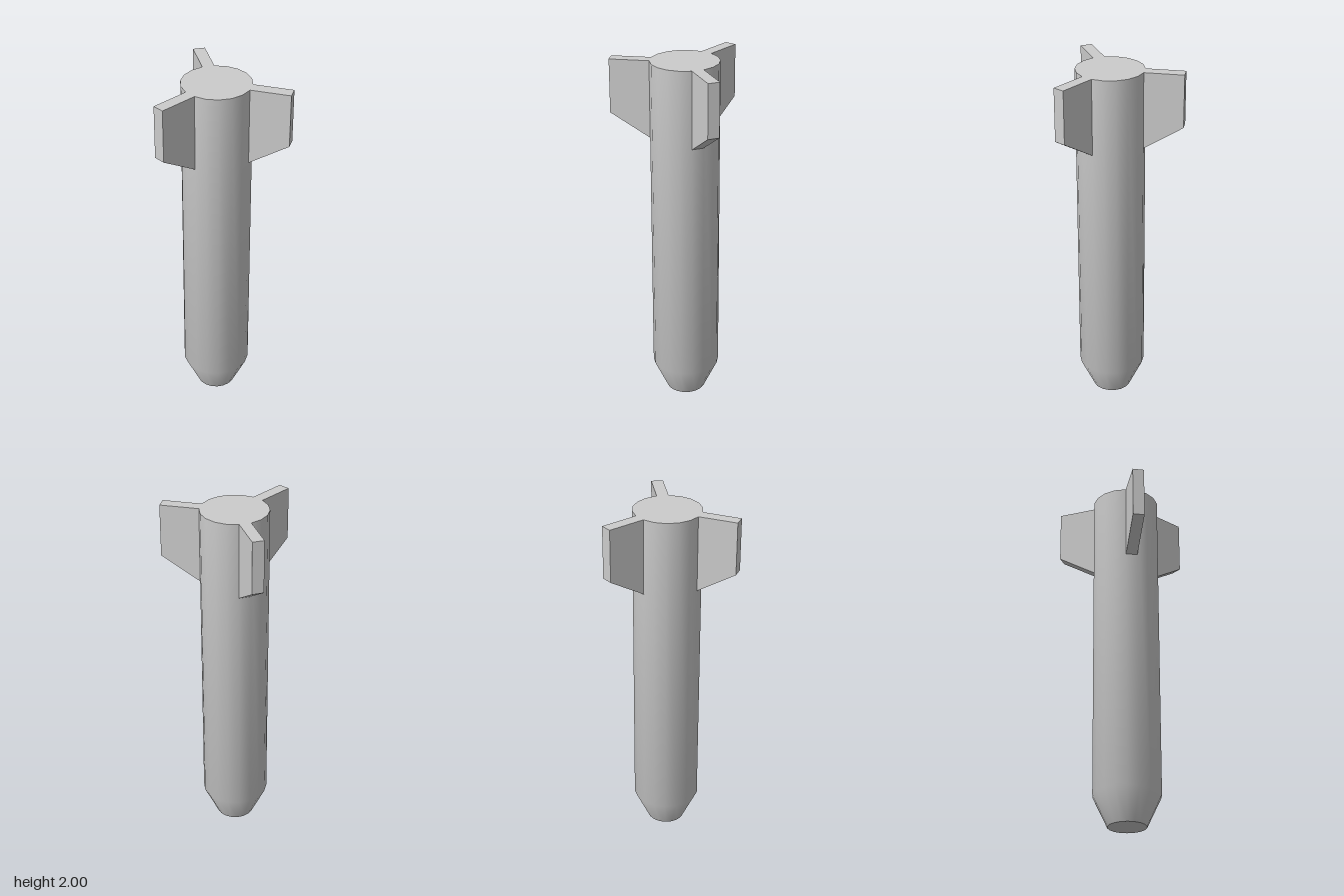
import * as THREE from 'three';
import { toCreasedNormals } from 'three/addons/utils/BufferGeometryUtils.js';

const SIDES = 18;
const RADIUS = 0.19;
const FLAT = RADIUS * Math.cos(Math.PI / SIDES); // distance from axis to a flat side
const FIN_WIDTH = 2 * RADIUS * Math.sin(Math.PI / SIDES);

export function createModel() {
  const group = new THREE.Group();
  const material = new THREE.MeshStandardMaterial({ color: 0xcccccc });

  // Capped body with a blunt tapered nose at the bottom
  const profile = [[0, 0], [0.108, 0], [RADIUS, 0.175], [RADIUS, 2], [0, 2]]
    .map(([r, y]) => new THREE.Vector2(r, y));
  const bodyGeometry = new THREE.LatheGeometry(profile, SIDES, Math.PI / SIDES);
  const body = new THREE.Mesh(toCreasedNormals(bodyGeometry, 0.6), material);
  body.name = 'body';
  group.add(body);

  // Three fins, each one body facet wide, with slanted lower edges
  const finShape = new THREE.Shape([[FLAT, 1.565], [0.405, 1.7], [0.405, 2], [FLAT, 2]]
    .map(([r, y]) => new THREE.Vector2(r, y)));
  const finGeometry = new THREE.ExtrudeGeometry(finShape, { depth: FIN_WIDTH, bevelEnabled: false });
  finGeometry.translate(0, 0, -FIN_WIDTH / 2);
  [['backFin', 90], ['leftFin', -30], ['rightFin', 210]].forEach(([name, degrees]) => {
    const fin = new THREE.Mesh(finGeometry, material);
    fin.name = name;
    fin.rotation.y = THREE.MathUtils.degToRad(degrees);
    group.add(fin);
  });

  // The body axis sits forward of centre to balance the back fin
  group.children.forEach((part) => { part.position.z = 0.085; });
  return group;
}
